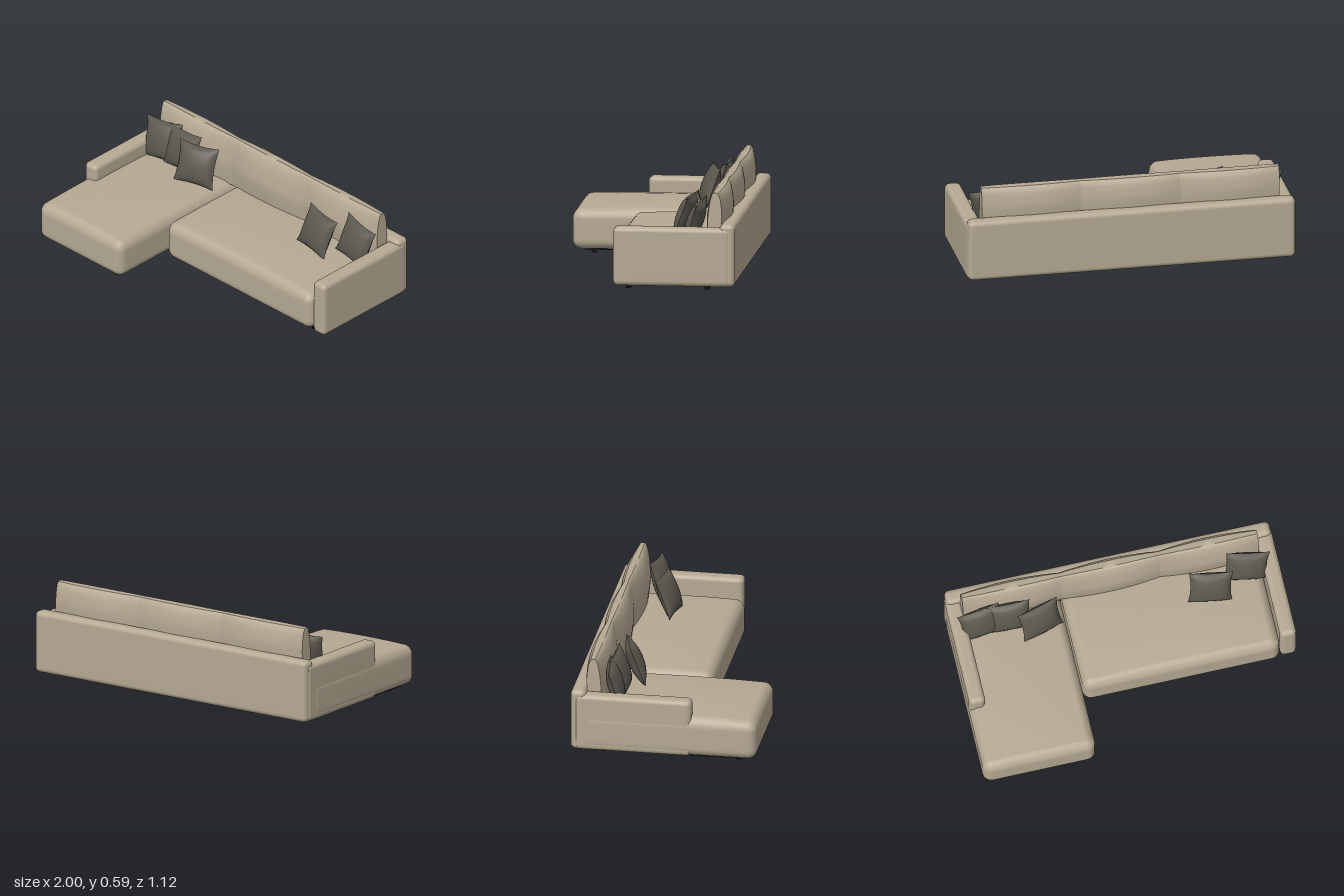
import * as THREE from 'three';
import { mergeVertices, mergeGeometries, toCreasedNormals } from 'three/addons/utils/BufferGeometryUtils.js';

const material = (name, color) => {
  const m = new THREE.MeshStandardMaterial({ color });
  m.name = name;
  return m;
};

// Rounded box between two corners; the top can swell into a crown
function softBox([x0, x1], [y0, y1], [z0, z1], r, crown = 0) {
  const n = 14, k = 4;
  const geo = new THREE.BoxGeometry(2, 2, 2, n, n, n);
  geo.deleteAttribute('normal');
  geo.deleteAttribute('uv');
  const out = mergeVertices(geo);
  const half = [(x1 - x0) / 2, (y1 - y0) / 2, (z1 - z0) / 2];
  const mid = [(x0 + x1) / 2, (y0 + y1) / 2, (z0 + z1) / 2];
  const pos = out.attributes.position;
  // Crowds the grid lines into the rounded corners
  const spread = (s, h) => {
    const i = Math.round((s + 1) / 2 * n), core = h - r;
    if (i < k) return -core - r * Math.tan((k - i) / k * Math.PI / 4);
    if (i > n - k) return core + r * Math.tan((i - n + k) / k * Math.PI / 4);
    return core * (2 * (i - k) / (n - 2 * k) - 1);
  };
  const p = new THREE.Vector3(), inner = new THREE.Vector3();
  const limit = new THREE.Vector3(...half).subScalar(r), low = limit.clone().negate();
  for (let i = 0; i < pos.count; i++) {
    p.set(spread(pos.getX(i), half[0]), spread(pos.getY(i), half[1]), spread(pos.getZ(i), half[2]));
    inner.copy(p).clamp(low, limit);
    p.sub(inner).normalize().multiplyScalar(r).add(inner);
    const u = p.x / half[0], w = p.z / half[2];
    const swell = Math.sqrt(Math.max(0, (1 - u * u) * (1 - w * w)));
    p.y += crown * swell * Math.max(0, p.y / half[1]);
    pos.setXYZ(i, p.x + mid[0], p.y + mid[1], p.z + mid[2]);
  }
  out.computeVertexNormals();
  return out;
}

// Back cushion: a side profile swept across x, thinner towards both ends
function backCushion(x0, x1) {
  const shape = new THREE.Shape();
  shape.moveTo(0.375, 0.27);
  shape.splineThru([[0.36, 0.39], [0.366, 0.46], [0.382, 0.53], [0.402, 0.575], [0.42, 0.589]]
    .map(([a, b]) => new THREE.Vector2(a, b)));
  shape.lineTo(0.46, 0.585);
  shape.splineThru([[0.48, 0.56], [0.495, 0.51], [0.502, 0.44], [0.49, 0.27]]
    .map(([a, b]) => new THREE.Vector2(a, b)));
  const w = x1 - x0;
  const geo = new THREE.ExtrudeGeometry(shape, { depth: w, steps: 14, bevelEnabled: false, curveSegments: 4 });
  geo.rotateY(Math.PI / 2);
  const pos = geo.attributes.position;
  for (let i = 0; i < pos.count; i++) {
    const u = pos.getX(i) / w * 2 - 1;
    pos.setX(i, pos.getX(i) + x0);
    pos.setZ(i, -0.43 + (pos.getZ(i) + 0.43) * (1 - 0.4 * u * u));
  }
  return toCreasedNormals(geo, 0.6);
}

// Square pillow with pointed corners and hollowed edges
function pillowGeometry(w, h, thick) {
  const side = () => {
    const geo = new THREE.PlaneGeometry(2, 2, 14, 14);
    const pos = geo.attributes.position;
    for (let i = 0; i < pos.count; i++) {
      const u = pos.getX(i), v = pos.getY(i);
      const a = Math.max(0, 1 - u * u), b = Math.max(0, 1 - v * v);
      pos.setXYZ(i, u * w / 2 * (1 - 0.09 * b * u * u), v * h / 2 * (1 - 0.09 * a * v * v),
        thick / 2 * Math.pow(a * b, 0.55));
    }
    geo.computeVertexNormals();
    return geo;
  };
  return mergeGeometries([side(), side().rotateY(Math.PI)]);
}

export function createModel() {
  const model = new THREE.Group();
  model.name = 'sectionalSofa';
  const fabric = material('beigeFabric', 0xb5a993);
  const dark = material('charcoalFabric', 0x5a574e);
  const black = material('blackBase', 0x141414);
  const add = (name, geo, mat) => {
    const mesh = new THREE.Mesh(geo, mat);
    mesh.name = name;
    model.add(mesh);
    return mesh;
  };

  // Frame: back and arms
  add('backFrame', softBox([-0.992, 0.992], [0.035, 0.412], [-0.56, -0.468], 0.03), fabric);
  add('leftArm', softBox([0.9, 0.998], [0.035, 0.388], [-0.535, 0.168], 0.03), fabric);
  add('rightArm', softBox([-0.998, -0.9], [0.035, 0.388], [-0.535, 0.168], 0.03), fabric);

  // Seats
  add('chaiseSeat', softBox([-1, -0.314], [0.035, 0.272], [-0.49, 0.56], 0.055, 0.03), fabric);
  add('mainSeat', softBox([-0.305, 0.897], [0.035, 0.272], [-0.49, 0.185], 0.055, 0.03), fabric);

  // Back cushions
  const edges = [-0.91, -0.309, 0.293, 0.895];
  for (let i = 0; i < 3; i++) add('backCushion', backCushion(edges[i], edges[i + 1]), fabric);

  // Scatter pillows: x, y, z, lean, yaw, roll
  const pillow = pillowGeometry(0.265, 0.255, 0.095);
  [
    [-0.815, 0.405, -0.315, -0.3, 0.1, 0.08],
    [-0.645, 0.412, -0.31, -0.3, -0.04, 0.04],
    [-0.47, 0.412, -0.25, -0.35, 0.27, 0.0],
    [0.562, 0.412, -0.222, -0.38, -0.13, -0.06],
    [0.8, 0.408, -0.305, -0.32, -0.1, -0.12],
  ].forEach(([x, y, z, lean, yaw, roll]) => {
    const mesh = add('scatterPillow', pillow, dark);
    mesh.position.set(x, y, z);
    mesh.rotation.set(lean, yaw, roll, 'YXZ');
  });

  // Base panels and tapered feet under each seat
  const foot = new THREE.CylinderGeometry(0.02, 0.015, 0.032, 16);
  [
    [-0.945, -0.37, 0.48, [-0.89, -0.445], 0.44],
    [-0.275, 0.87, 0.125, [-0.247, 0.843], 0.09],
  ].forEach(([x0, x1, front, feet, zFoot]) => {
    const panel = add('basePanel', new THREE.BoxGeometry(x1 - x0, 0.012, front + 0.41), black);
    panel.position.set((x0 + x1) / 2, 0.032, (front - 0.41) / 2);
    for (const x of feet) for (const z of [zFoot, -0.38]) {
      add('foot', foot, black).position.set(x, 0.016, z);
    }
  });

  return model;
}
